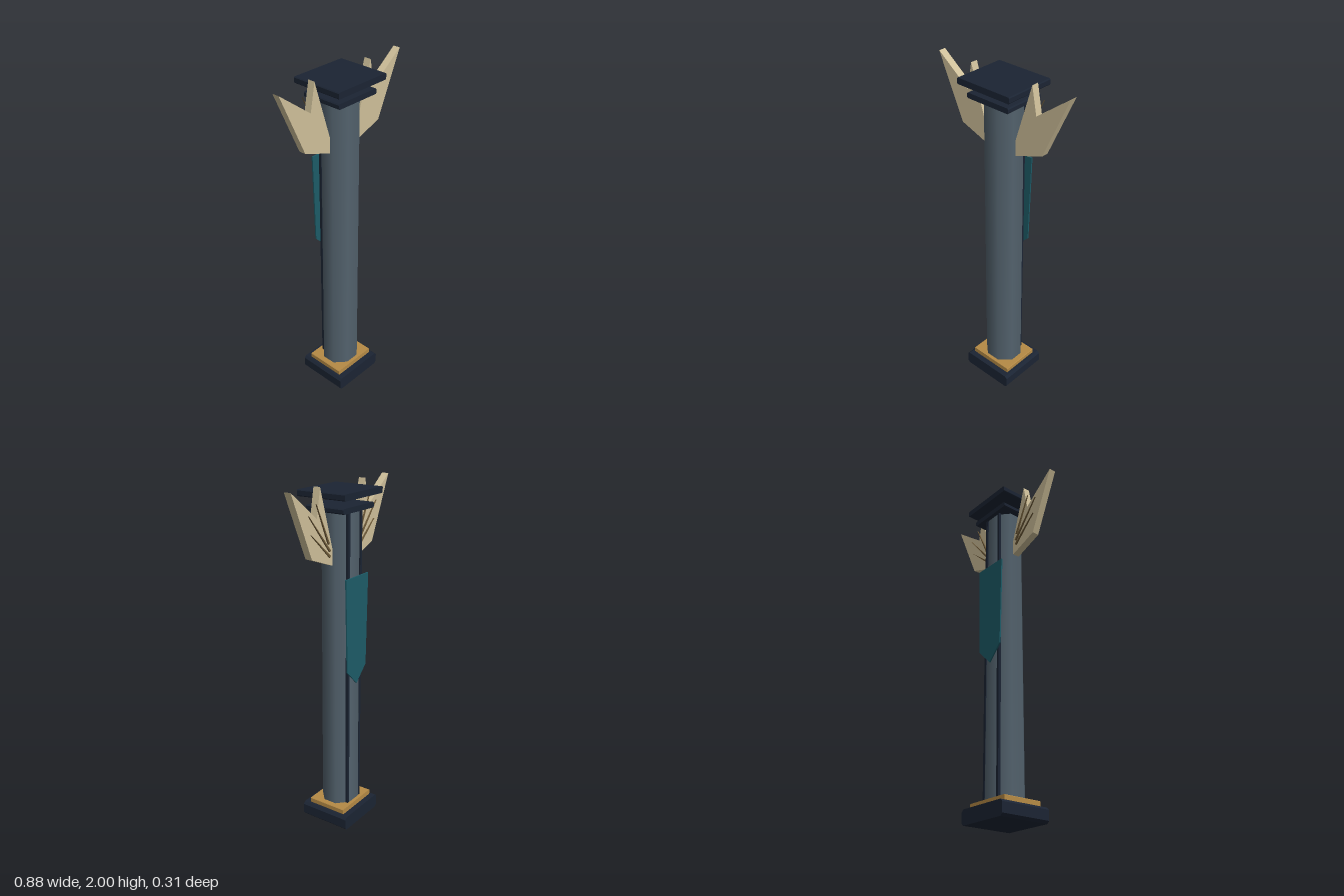
import * as THREE from 'three';

const mat = (color, side = THREE.FrontSide) => new THREE.MeshStandardMaterial({ color, side });

function shapeOf(points) {
  return new THREE.Shape(points.map(([x, y]) => new THREE.Vector2(x, y)));
}

// Extrusion centred on z = 0
function plate(points, depth) {
  const g = new THREE.ExtrudeGeometry(shapeOf(points), { depth, bevelEnabled: false });
  return g.translate(0, 0, -depth / 2);
}

// Slab with chamfered side edges, standing on y0
function slab(halfX, y0, y1, halfZ, c) {
  return plate([
    [-halfX + c, y0], [halfX - c, y0], [halfX, y0 + c], [halfX, y1 - c],
    [halfX - c, y1], [-halfX + c, y1], [-halfX, y1 - c], [-halfX, y0 + c],
  ], halfZ * 2);
}

export function createModel() {
  const model = new THREE.Group();
  model.name = 'wingedPillar';
  const slate = mat(0x53626d);
  const navy = mat(0x1b2433);
  const gold = mat(0xb58a45);
  const cream = mat(0xcfc09a);
  const brown = mat(0x6e5a38);
  const teal = mat(0x1d5c68, THREE.DoubleSide);

  const add = (name, geometry, material, parent = model) => {
    const mesh = new THREE.Mesh(geometry, material);
    mesh.name = name;
    parent.add(mesh);
    return mesh;
  };

  // Base, collar and capital
  add('base', slab(0.168, 0, 0.085, 0.155, 0.014), navy);
  add('baseCollar', slab(0.142, 0.085, 0.116, 0.12, 0.003), gold);
  add('capital', slab(0.14, 1.86, 1.89, 0.12, 0.006), navy);
  add('topSlab', slab(0.175, 1.935, 1.97, 0.152, 0.005), navy);

  // Tapered eight-sided shaft
  const k = 1 / Math.cos(Math.PI / 8);
  const shaft = new THREE.CylinderGeometry(0.102 * k, 0.108 * k, 1.76, 8, 1);
  shaft.rotateY(Math.PI / 8).scale(1, 1, 0.92).translate(0, 0.98, 0);
  add('shaft', shaft, slate);

  // Banner hung at the back
  const banner = plate([[-0.105, 1.51], [-0.09, 0.975], [0, 0.885], [0.09, 0.975], [0.105, 1.51]], 0.008);
  add('banner', banner, teal).position.z = -0.109;

  const wingOutline = [[0.1, 1.575], [0.28, 1.64], [0.44, 2], [0.235, 1.845], [0.205, 2], [0.1, 1.66]];
  const feathers = [[0.14, 1.7, 0.245, 1.92], [0.13, 1.66, 0.31, 1.87], [0.13, 1.63, 0.29, 1.77]];

  for (const s of [-1, 1]) {
    const side = s > 0 ? 'left' : 'right';

    // Dark strip along the back corner of the shaft
    const strip = add(side + 'Strip', new THREE.BoxGeometry(0.016, 1.75, 0.016), navy);
    strip.position.set(s * 0.056, 0.985, -0.09);

    // Wing with thin feather ribs on its back
    const wing = new THREE.Group();
    wing.name = side + 'Wing';
    model.add(wing);
    const outline = wingOutline.map(([x, y]) => [s * x, y]);
    add('wingBlade', plate(outline, 0.042), cream, wing);
    for (const [x0, y0, x1, y1] of feathers) {
      const dx = x1 - x0, dy = y1 - y0, len = Math.hypot(dx, dy);
      const nx = -dy / len * 0.006, ny = dx / len * 0.006;
      const rib = [[x0 - nx, y0 - ny], [x1, y1], [x0 + nx, y0 + ny]].map(([x, y]) => [s * x, y]);
      add('featherRib', plate(rib, 0.008), brown, wing).position.z = -0.025;
    }
  }
  return model;
}
